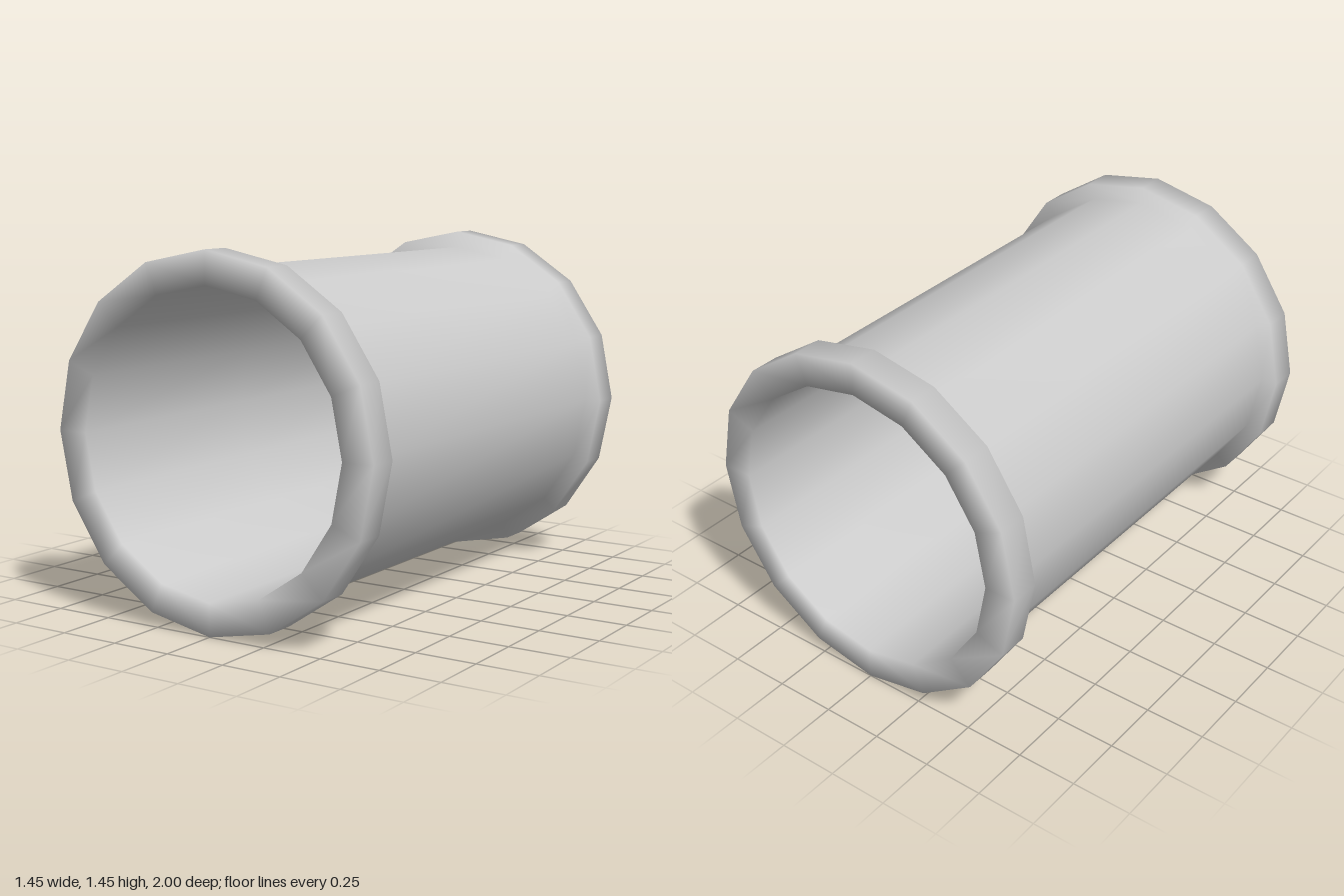
import * as THREE from 'three';

const SIDES = 16;
const COLLAR = 0.726, BODY = 0.656, BORE = 0.595;  // radii
const HALF = 1, STEP = 0.875;                      // half length, inner face of collars

export function createModel() {
  const group = new THREE.Group();
  group.name = 'pipeSection';

  // Closed wall profile [radius, length]: bore, end face, collar, body, collar, end face, bore
  const profile = [
    [BORE, 0], [BORE, -HALF], [COLLAR, -HALF], [COLLAR, -STEP], [BODY, -STEP],
    [BODY, STEP], [COLLAR, STEP], [COLLAR, HALF], [BORE, HALF], [BORE, 0],
  ].map(([r, l]) => new THREE.Vector2(r, l));

  // Smooth normals round the profile; axis turned to run front to back
  const geometry = new THREE.LatheGeometry(profile, SIDES);
  geometry.rotateX(Math.PI / 2);
  geometry.translate(0, COLLAR, 0);

  const pipe = new THREE.Mesh(geometry, new THREE.MeshStandardMaterial({ color: 0xcccccc }));
  pipe.name = 'collaredPipe';
  group.add(pipe);
  return group;
}
